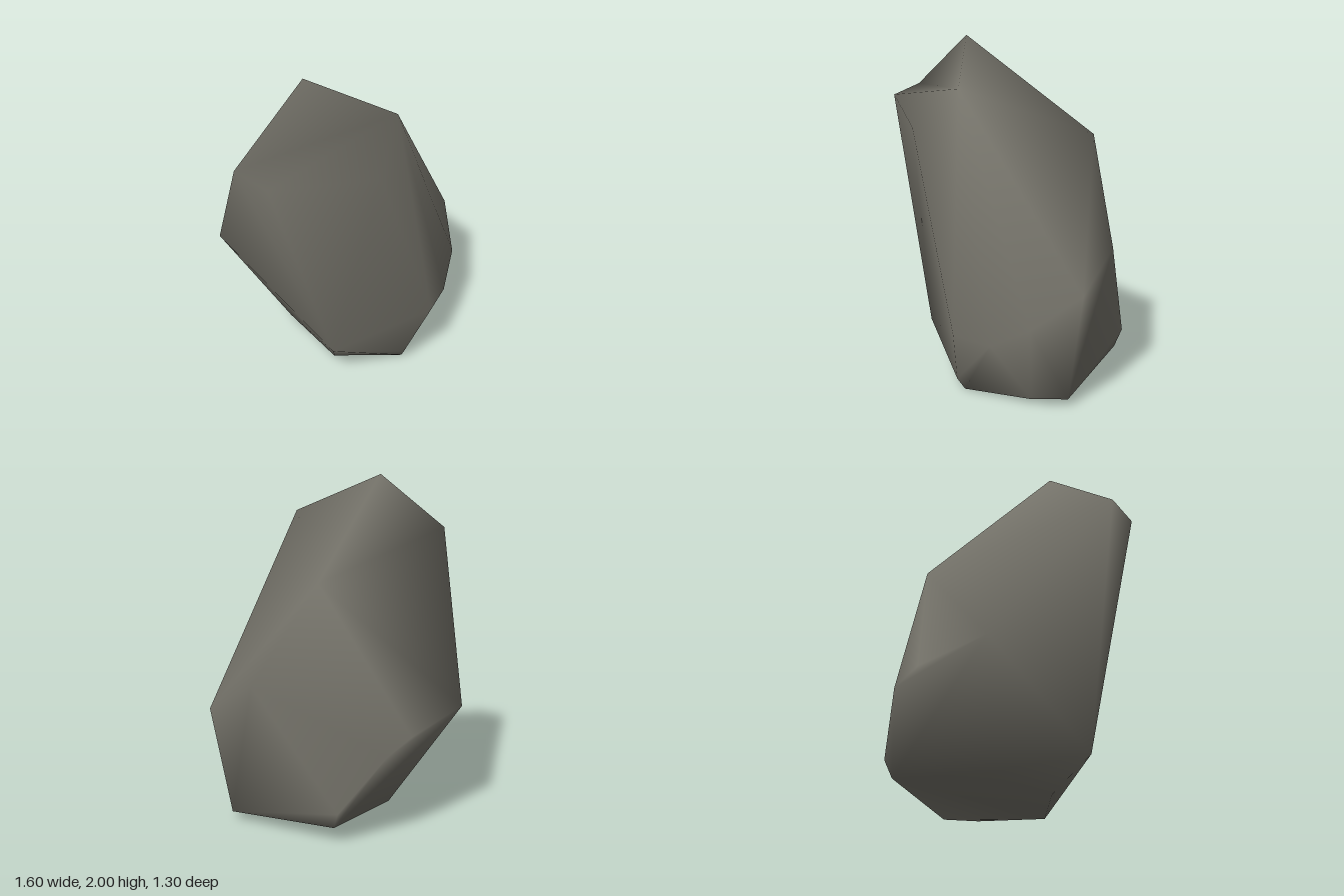
import * as THREE from 'three';
import { ConvexGeometry } from 'three/addons/geometries/ConvexGeometry.js';
import { mergeVertices } from 'three/addons/utils/BufferGeometryUtils.js';

// Peak, and the ring of corners below it (counter-clockwise from above)
const peak = [-0.31, 2.0, 0.03];
const shoulder = [[-0.8, 1.64, -0.06], [0.0, 1.775, 0.44], [0.45, 1.47, -0.22]];
// Corner points of the body, grouped by region
const leftFlank = [[0.76, 0.9, 0.0], [0.8, 0.71, 0.325], [0.59, 0.52, 0.52]];
const frontBulge = [
  [-0.8, 1.6, 0.16], [-0.28, 1.53, 0.525], [0.13, 0.41, 0.65],
  [0.365, 0.39, 0.6], [-0.39, 0.26, 0.29],
];
const backBulge = [
  [-0.32, 0.69, -0.63], [0.14, 0.61, -0.65], [0.32, 0.53, -0.63], [0.53, 0.2, -0.45],
];
const base = [
  [0.07, 0.0, 0.49], [0.04, 0.07, 0.525], [0.5, 0.035, 0.4], [0.68, 0.05, 0.29],
  [0.51, 0.1, -0.4], [-0.08, 0.06, -0.27], [-0.2, 0.02, 0.16],
];

export function createModel() {
  const stone = new THREE.MeshStandardMaterial({ color: 0x75736a });
  stone.name = 'stone grey';

  // Wrap the body corners in a hull
  const corners = [shoulder, leftFlank, frontBulge, backBulge, base].flat();
  const hull = new ConvexGeometry(corners.map((p) => new THREE.Vector3(...p)));
  const pos = hull.getAttribute('position');

  // Leave out the flat top inside the shoulder ring
  const onShoulder = (v) => shoulder.some((s) => v.distanceTo(new THREE.Vector3(...s)) < 1e-4);
  const points = [];
  for (let i = 0; i < pos.count; i += 3) {
    const tri = [0, 1, 2].map((k) => new THREE.Vector3().fromBufferAttribute(pos, i + k));
    if (!tri.every(onShoulder)) points.push(...tri);
  }
  // Close it with a fan up to the peak
  shoulder.forEach((s, i) => {
    const next = shoulder[(i + 1) % shoulder.length];
    points.push(...[peak, s, next].map((p) => new THREE.Vector3(...p)));
  });

  // Weld the corners so the shading is smooth
  const geometry = mergeVertices(new THREE.BufferGeometry().setFromPoints(points), 1e-4);
  geometry.computeVertexNormals();

  const boulder = new THREE.Mesh(geometry, stone);
  boulder.name = 'boulder';

  const group = new THREE.Group();
  group.name = 'rock';
  group.add(boulder);
  return group;
}
